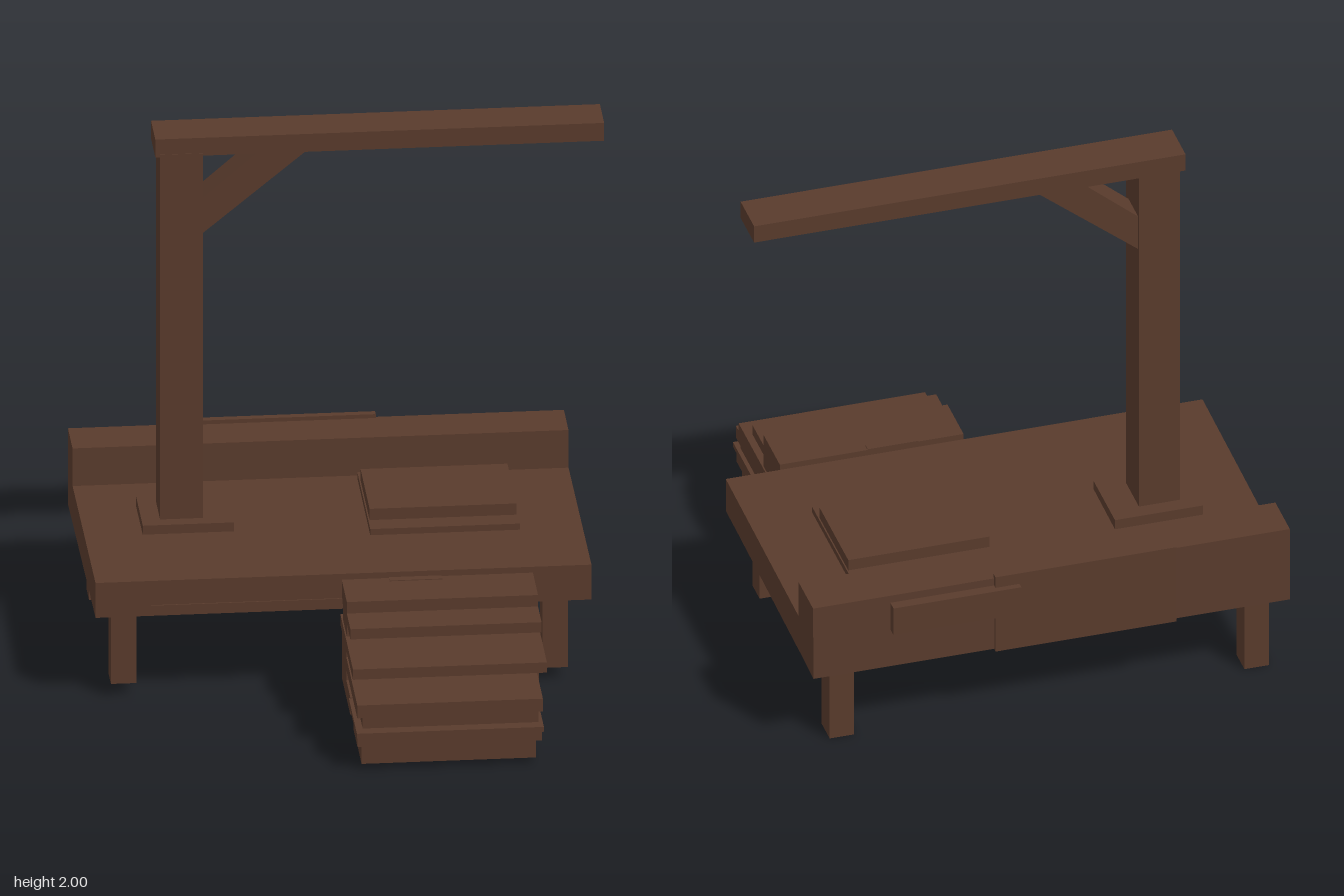
import * as THREE from 'three';

export function createModel() {
  const model = new THREE.Group();
  const wood = new THREE.MeshStandardMaterial({ color: 0x593b2c });
  wood.name = 'dark brown wood';

  const add = (parent, name, geometry) => {
    const mesh = new THREE.Mesh(geometry, wood);
    mesh.name = name;
    parent.add(mesh);
    return mesh;
  };
  const group = (name) => {
    const g = new THREE.Group();
    g.name = name;
    model.add(g);
    return g;
  };
  // box given by its limits on each axis
  const box = (parent, name, x0, x1, y0, y1, z0, z1) => {
    const g = new THREE.BoxGeometry(x1 - x0, y1 - y0, z1 - z0);
    g.translate((x0 + x1) / 2, (y0 + y1) / 2, (z0 + z1) / 2);
    return add(parent, name, g);
  };
  const extrude = (points, depth) => new THREE.ExtrudeGeometry(
    new THREE.Shape(points.map(([a, b]) => new THREE.Vector2(a, b))), { depth, bevelEnabled: false });
  // side profile of [z, y] points, swept along x
  const sweepX = (parent, name, points, x0, x1) => {
    const g = extrude(points.map(([z, y]) => [-z, y]), x1 - x0);
    g.rotateY(Math.PI / 2);
    g.translate(x0, 0, 0);
    return add(parent, name, g);
  };

  // Platform: gently sloping deck over a rim, open underneath
  const platform = group('platform');
  const L = -0.94, R = 0.85;
  sweepX(platform, 'deck', [[0.22, 0.40], [0.22, 0.48], [-0.70, 0.463], [-0.70, 0.38]], L, R);
  sweepX(platform, 'frontRim', [[0.22, 0.343], [0.22, 0.402], [0.05, 0.402], [0.05, 0.34]], L, R);
  for (const [x0, x1] of [[L, L + 0.12], [R - 0.12, R]]) {
    sweepX(platform, 'sideRim', [[0.06, 0.34], [0.06, 0.402], [-0.70, 0.388], [-0.70, 0.318]], x0, x1);
  }
  sweepX(platform, 'backBeam', [[-0.68, 0.32], [-0.685, 0.61], [-0.865, 0.61], [-0.87, 0.31]], L, R);
  for (const x of [-0.45, -0.05, 0.35]) {
    box(platform, 'joist', x - 0.04, x + 0.04, 0.355, 0.40, -0.69, 0.06);
  }
  box(platform, 'underPanel', -0.5, 0.3, 0.345, 0.37, -0.5, -0.25);
  box(platform, 'frontBoard', -0.74, -0.05, 0.352, 0.385, 0.2, 0.225);

  // Plates on the back beam
  box(platform, 'backPanel', -0.51, 0.17, 0.305, 0.625, -0.882, -0.855);
  box(platform, 'backPlaque', 0.08, 0.56, 0.465, 0.58, -0.905, -0.86);

  // Legs
  const legs = group('legs');
  for (const x of [-0.832, 0.725]) {
    box(legs, 'frontLeg', x - 0.046, x + 0.046, 0.05, 0.36, 0.06, 0.15);
    box(legs, 'backLeg', x - 0.046, x + 0.046, 0, 0.36, -0.81, -0.71);
  }

  // Post, arm and diagonal brace
  const frame = group('postAndArm');
  box(frame, 'postFoot', -0.73, -0.40, 0.46, 0.507, -0.48, -0.21);
  box(frame, 'post', -0.663, -0.508, 0.5, 1.94, -0.42, -0.26);
  box(frame, 'arm', -0.68, 0.94, 1.93, 2.0, -0.43, -0.262);
  const brace = add(frame, 'brace',
    extrude([[-0.51, 1.61], [-0.12, 1.932], [-0.30, 1.932], [-0.51, 1.75]], 0.12));
  brace.position.z = -0.41;

  // Raised hatch on the deck
  const hatch = group('hatch');
  box(hatch, 'hatchSupport', 0.14, 0.56, 0.46, 0.495, -0.44, -0.19);
  box(hatch, 'hatchLower', 0.08, 0.62, 0.49, 0.514, -0.60, -0.09);
  box(hatch, 'hatchUpper', 0.085, 0.615, 0.51, 0.558, -0.525, -0.17);

  // Stairs: boards of varying depth over solid blocks
  const stairs = group('stairs');
  sweepX(stairs, 'topStep',
    [[0.26, 0.425], [0.26, 0.475], [0.46, 0.475], [0.46, 0.335], [0.30, 0.335], [0.30, 0.395]], -0.055, 0.635);
  const boards = [
    ['secondTread', -0.055, 0.635, 0.39, 0.43, 0.44, 0.60],
    ['thirdTread', -0.06, 0.64, 0.30, 0.34, 0.26, 0.755],
    ['rearBlock', -0.055, 0.64, 0.092, 0.34, 0.26, 0.44],
    ['fourthTreadUpper', -0.055, 0.615, 0.20, 0.25, 0.43, 0.872],
    ['fourthTreadLower', -0.035, 0.60, 0.155, 0.20, 0.43, 0.865],
    ['middleBlock', -0.055, 0.615, 0.092, 0.16, 0.43, 0.595],
    ['bottomTread', -0.06, 0.615, 0.137, 0.156, 0.59, 0.91],
    ['baseUpper', -0.055, 0.61, 0.09, 0.14, 0.73, 0.88],
    ['baseLower', -0.04, 0.59, 0.022, 0.092, 0.732, 0.876],
  ];
  boards.forEach((b) => box(stairs, ...b));
  box(stairs, 'topStepInlay', 0.115, 0.305, 0.47, 0.478, 0.26, 0.29);

  return model;
}
